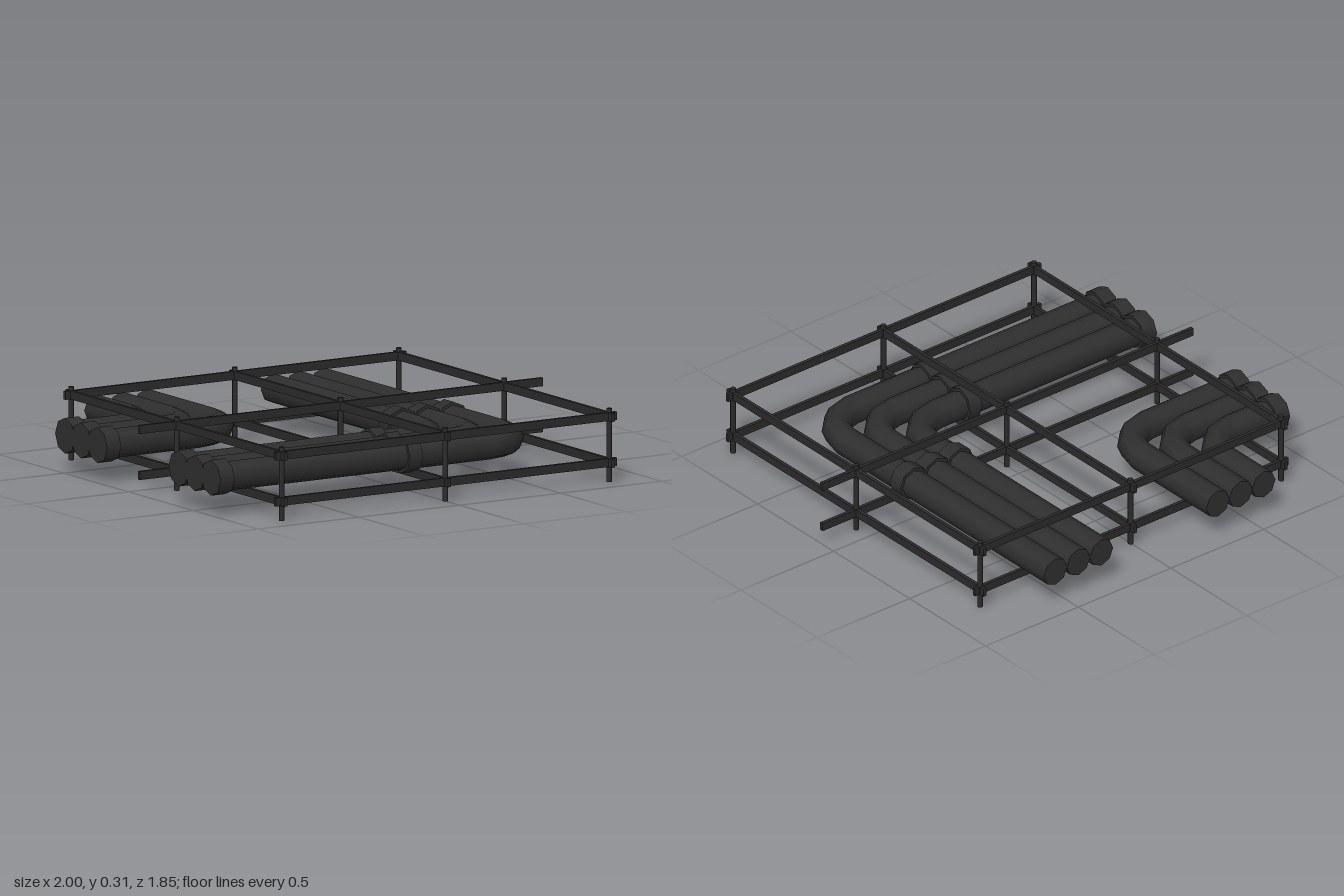
import * as THREE from 'three';
import { mergeGeometries } from 'three/addons/utils/BufferGeometryUtils.js';

const PIPE_Y = 0.16, PIPE_R = 0.0625, COLLAR_R = 0.076, BEND_R = 0.18;
const LEFT_END = -1, BACK_END = -0.925;

// Eight-sided cylinders lying along x or z
function rodX(r, x0, x1, z) {
  return new THREE.CylinderGeometry(r, r, x1 - x0, 8).rotateZ(Math.PI / 2).translate((x0 + x1) / 2, PIPE_Y, z);
}
function rodZ(r, z0, z1, x) {
  return new THREE.CylinderGeometry(r, r, z1 - z0, 8).rotateX(Math.PI / 2).translate(x, PIPE_Y, (z0 + z1) / 2);
}

// L-shaped pipe: straight from the back, quarter bend, straight to the left edge
function pipeGeometry(x, z) {
  const bend = new THREE.TorusGeometry(BEND_R, PIPE_R, 8, 3, Math.PI / 2)
    .rotateX(Math.PI / 2).translate(x - BEND_R, PIPE_Y, z - BEND_R);
  return mergeGeometries([
    rodZ(PIPE_R, BACK_END, z - BEND_R, x),
    bend,
    rodX(PIPE_R, LEFT_END, x - BEND_R, z),
  ]);
}

export function createModel() {
  const model = new THREE.Group();
  model.name = 'pipeRack';
  const pipeMat = new THREE.MeshStandardMaterial({ color: 0x2e2e2e });
  pipeMat.name = 'pipe charcoal';
  const frameMat = new THREE.MeshStandardMaterial({ color: 0x2a2a2a });
  frameMat.name = 'frame black';

  const add = (parent, name, geometry, material) => {
    const mesh = new THREE.Mesh(geometry, material);
    mesh.name = name;
    parent.add(mesh);
    return mesh;
  };

  // Pipe bundles: three nested bends each, collars along x and z runs
  const bundles = [
    { name: 'longPipeBundle', x: 0.313, z: 0.386, collarsX: [[-1, -0.93], [-0.06, 0.005]], collarsZ: [[0.005, 0.075]] },
    { name: 'shortPipeBundle', x: -0.563, z: -0.49, collarsX: [[-1, -0.93]], collarsZ: [] },
  ];
  for (const b of bundles) {
    const group = new THREE.Group();
    group.name = b.name;
    for (let i = 0; i < 3; i++) {
      const x = b.x + i * 0.124, z = b.z + i * 0.125;
      add(group, 'pipe', pipeGeometry(x, z), pipeMat);
      for (const [a, c] of b.collarsX) add(group, 'collar', rodX(COLLAR_R, a, c, z), pipeMat);
      for (const [a, c] of b.collarsZ) add(group, 'collar', rodZ(COLLAR_R, a, c, x), pipeMat);
    }
    model.add(group);
  }

  // Support frame: a grid of posts with two levels of rails
  const frame = new THREE.Group();
  frame.name = 'supportFrame';
  const xs = [-0.812, 0, 0.812], zs = [-0.735, 0.08, 0.89];
  for (const x of xs) {
    for (const z of zs) {
      add(frame, 'post', new THREE.CylinderGeometry(0.012, 0.012, 0.312, 8), frameMat).position.set(x, 0.156, z);
    }
  }
  for (const y of [0.082, 0.277]) {
    zs.forEach((z, i) => {
      const length = i === 1 ? 2 : 1.69;
      add(frame, 'crossRail', new THREE.BoxGeometry(length, 0.036, 0.016), frameMat).position.set(0, y, z);
    });
    for (const x of xs) {
      add(frame, 'lengthRail', new THREE.BoxGeometry(0.016, 0.036, 1.69), frameMat).position.set(x, y, 0.077);
    }
  }
  model.add(frame);
  return model;
}
